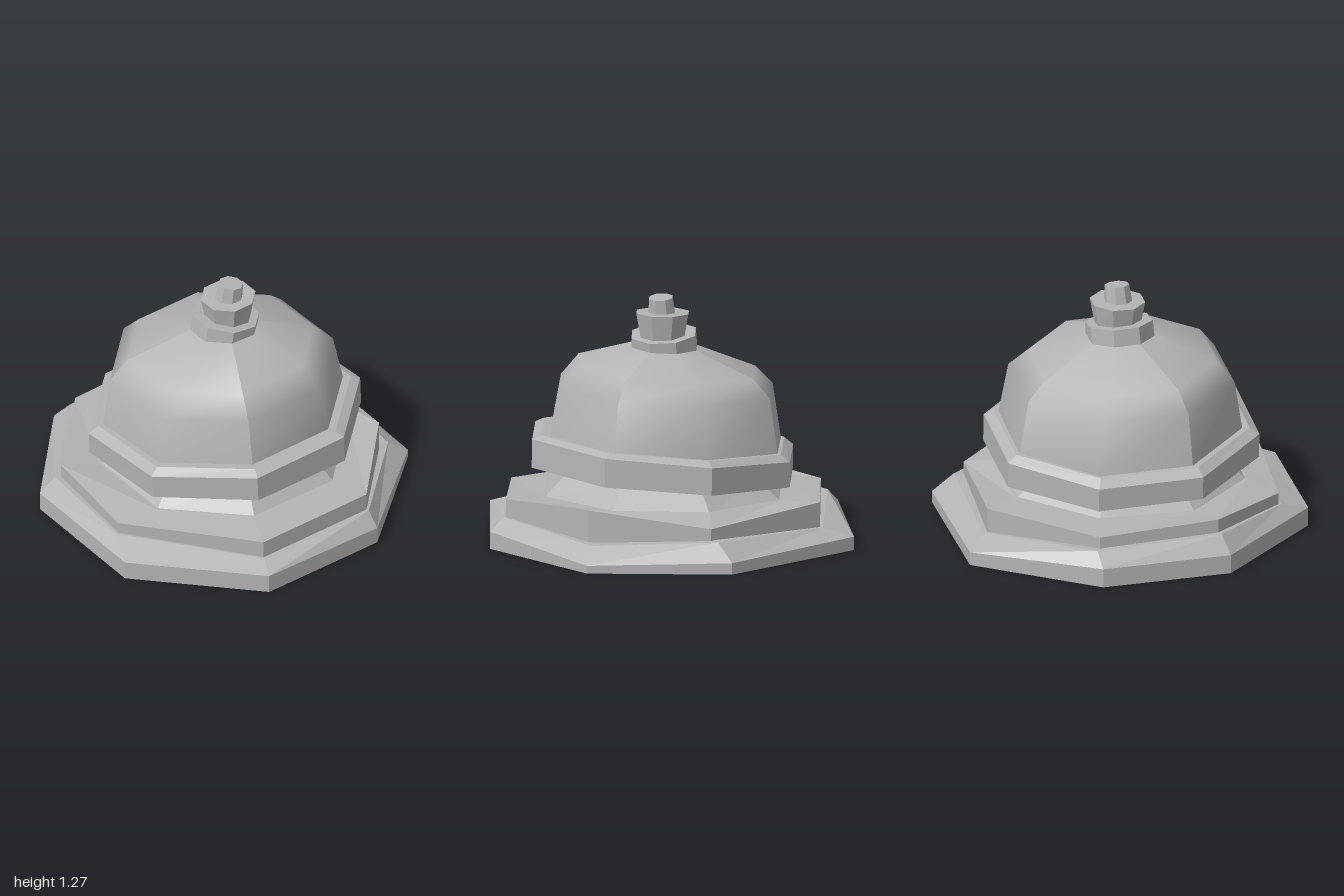
import * as THREE from 'three';

const SIDES = 8;

// Octagon loop: radius, centre height, tilt along x and z, centre offset
function ring(r, y, tiltX = 0, tiltZ = 0, cx = 0, cz = 0.02) {
  return Array.from({ length: SIDES }, (_, i) => {
    const a = (i / SIDES) * Math.PI * 2;
    const x = Math.sin(a) * r, z = Math.cos(a) * r;
    return [x + cx, y + x * tiltX + z * tiltZ, z + cz];
  });
}

// Faceted solid skinned through loops from bottom to top, with end caps
function loft(name, rings, material) {
  const p = [];
  const tri = (a, b, c) => p.push(...a, ...b, ...c);
  for (let k = 0; k < rings.length - 1; k++) {
    for (let i = 0; i < SIDES; i++) {
      const j = (i + 1) % SIDES, lo = rings[k], hi = rings[k + 1];
      tri(lo[i], lo[j], hi[j]);
      tri(lo[i], hi[j], hi[i]);
    }
  }
  const centre = (loop) => [0, 1, 2].map((c) => loop.reduce((s, v) => s + v[c], 0) / SIDES);
  const bottom = rings[0], top = rings[rings.length - 1];
  const cb = centre(bottom), ct = centre(top);
  for (let i = 0; i < SIDES; i++) {
    const j = (i + 1) % SIDES;
    tri(cb, bottom[j], bottom[i]);
    tri(ct, top[i], top[j]);
  }
  const g = new THREE.BufferGeometry();
  g.setAttribute('position', new THREE.Float32BufferAttribute(p, 3));
  g.computeVertexNormals();
  const mesh = new THREE.Mesh(g, material);
  mesh.name = name;
  return mesh;
}

// One quarter of the dome: smooth inside, creased where it meets its neighbours
function domeQuarter(rings, quarter, material) {
  const p = [], index = [];
  rings.forEach((loop, k) => {
    for (let i = 0; i < 3; i++) {
      p.push(...loop[(quarter * 2 + i) % SIDES]);
      if (k < rings.length - 1 && i < 2) {
        const a = k * 3 + i;
        index.push(a, a + 1, a + 4, a, a + 4, a + 3);
      }
    }
  });
  const g = new THREE.BufferGeometry();
  g.setAttribute('position', new THREE.Float32BufferAttribute(p, 3));
  g.setIndex(index);
  g.computeVertexNormals();
  const mesh = new THREE.Mesh(g, material);
  mesh.name = 'domePanel' + (quarter + 1);
  return mesh;
}

export function createModel() {
  const model = new THREE.Group();
  model.name = 'bell';
  const grey = new THREE.MeshStandardMaterial({ color: 0xb4b4b4 });
  grey.name = 'grey';

  // Uneven foot: corners run from the front towards +x
  const rim = [[0, 0.1, 1], [0.64, 0.09, 0.71], [0.97, 0.04, 0.02], [0.69, 0.06, -0.67],
    [-0.1, 0.07, -1], [-0.74, 0.1, -0.62], [-0.97, 0.1, 0.02], [-0.69, 0.1, 0.71]];
  const ledge = [[0, 0.135, 0.89], [0.61, 0.165, 0.65], [0.86, 0.12, 0.04], [0.64, 0.15, -0.57],
    [-0.02, 0.12, -0.86], [-0.66, 0.17, -0.6], [-0.89, 0.19, 0.02], [-0.69, 0.16, 0.54]];
  model.add(loft('foot', [rim.map(([x, , z]) => [x, 0, z]), rim, ledge], grey));

  // Second step with a wavy top edge
  const stepTop = [[0, 0.23, 0.88], [0.6, 0.26, 0.64], [0.8, 0.29, 0.09], [0.62, 0.21, -0.52],
    [-0.03, 0.25, -0.84], [-0.64, 0.23, -0.57], [-0.86, 0.26, 0.02], [-0.68, 0.22, 0.53]];
  const stepBase = stepTop.map(([x, , z]) => [x, 0.1, z]);
  model.add(loft('step', [stepBase, stepTop, ring(0.66, 0.25, 0.02, 0)], grey));

  // Sloping neck under the collar
  model.add(loft('neck', [ring(0.67, 0.23, 0.02, 0), ring(0.5, 0.38, 0.04, 0.04)], grey));

  // Tilted collar
  model.add(loft('collar', [
    ring(0.715, 0.36, 0.055, 0.055, 0.005, 0.03),
    ring(0.715, 0.495, 0.075, 0.06, 0, 0.03),
    ring(0.665, 0.525, 0.065, 0.055, 0, 0.03),
  ], grey));

  // Dome in four smooth quarters
  const domeRings = [
    ring(0.64, 0.48, 0.03, 0.03),
    ring(0.587, 0.785, 0.05, 0.02, -0.013),
    ring(0.49, 0.887, 0.05, 0.05, -0.02),
    ring(0.17, 1.0, 0, 0.05, 0),
  ];
  const dome = new THREE.Group();
  dome.name = 'dome';
  for (let q = 0; q < 4; q++) dome.add(domeQuarter(domeRings, q, grey));
  model.add(dome);

  // Crooked stack on the crown
  model.add(loft('washer', [
    ring(0.178, 0.985, -0.1, 0, -0.002),
    ring(0.176, 1.068, -0.13, 0, 0.01),
  ], grey));
  model.add(loft('cup', [
    ring(0.118, 1.04, -0.1, 0, 0.02),
    ring(0.144, 1.18, 0.03, 0, 0.022),
  ], grey));
  model.add(loft('button', [
    ring(0.074, 1.17, 0, 0, 0.022, 0.025),
    ring(0.064, 1.26, -0.12, 0, 0.035, 0.025),
  ], grey));

  return model;
}
